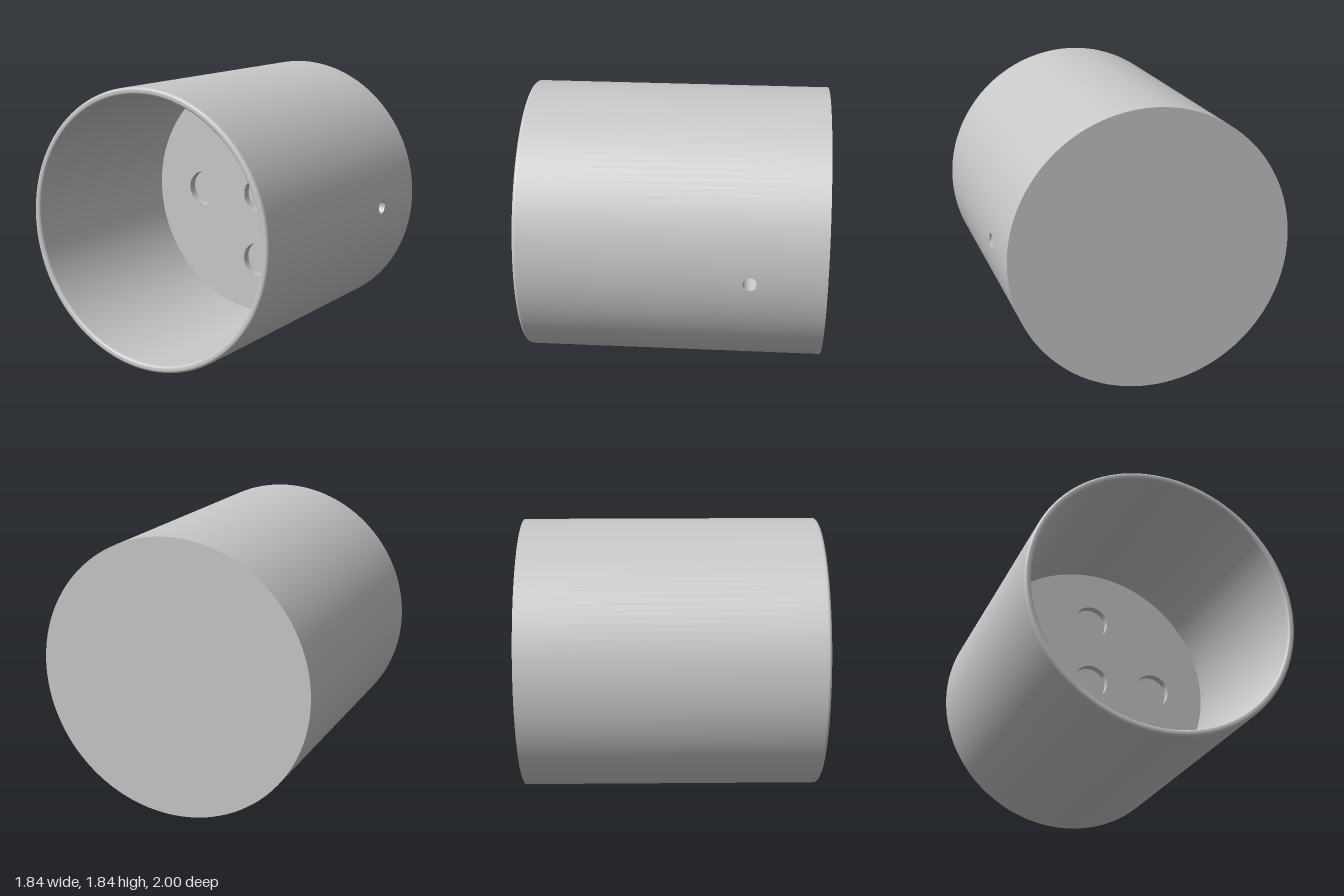
import * as THREE from 'three';

const R = 0.922;          // outer radius
const RI = 0.875;         // inner radius
const FLOOR = -0.37;      // z of the cup floor
const ROUND = 0.02;       // rounding of the front lip
const SEGMENTS = 120;
const BORE = { r: 0.046, z: -0.51, depth: 0.4 };
const POCKET = { r: 0.125, depth: 0.06, spread: 0.482 };
const PATCH = 2 * (2 * Math.PI / SEGMENTS);   // half angle of the patch around the bore
const PATCH_Z = 0.09;                         // half length of that patch

export function createModel() {
  const grey = new THREE.MeshStandardMaterial({ color: 0xc8c8c8 });
  grey.name = 'plain grey';
  const model = new THREE.Group();
  model.name = 'cup';
  const body = new THREE.Group();
  body.name = 'body';
  body.position.y = R;
  model.add(body);

  const add = (name, geometry, parent = body) => {
    const mesh = new THREE.Mesh(geometry, grey);
    mesh.name = name;
    parent.add(mesh);
    return mesh;
  };

  // Surface turned about the z axis from [radius, z] points; angle PI / 2 is +x
  const turned = (points, segments = SEGMENTS, start = 0, length = 2 * Math.PI) =>
    new THREE.LatheGeometry(points.map(p => new THREE.Vector2(...p)), segments, start, length)
      .rotateX(Math.PI / 2);

  // Outer wall, leaving a small window on the +x side for the bore
  const front = 1 - ROUND;
  const start = Math.PI / 2 - PATCH;
  add('outerWall', turned([[R, -1], [R, front]], SEGMENTS - 4,
    Math.PI / 2 + PATCH, 2 * Math.PI - 2 * PATCH));
  add('outerWallBackStrip', turned([[R, -1], [R, BORE.z - PATCH_Z]], 4, start, 2 * PATCH));
  add('outerWallFrontStrip', turned([[R, BORE.z + PATCH_Z], [R, front]], 4, start, 2 * PATCH));
  add('boreSurround', boreSurround());

  // Rounded front lip
  const lip = [];
  for (let i = 0; i <= 12; i++) {
    const a = Math.PI * i / 12;
    const centre = i <= 6 ? R - ROUND : RI + ROUND;
    lip.push([centre + ROUND * Math.cos(a), front + ROUND * Math.sin(a)]);
  }
  add('lip', turned(lip));

  // Inner wall and closed back
  add('innerWall', turned([[RI, front], [RI, FLOOR]]));
  add('back', new THREE.CircleGeometry(R, SEGMENTS).rotateY(Math.PI)).position.z = -1;

  // Floor with five round pockets
  const s = POCKET.spread;
  const centres = [[0, 0], [s, 0], [-s, 0], [0, s], [0, -s]];
  const floor = new THREE.Shape().absarc(0, 0, RI, 0, 2 * Math.PI);
  for (const [x, y] of centres) {
    floor.holes.push(new THREE.Path().absarc(x, y, POCKET.r, 0, 2 * Math.PI, true));
  }
  add('floor', new THREE.ShapeGeometry(floor, 60)).position.z = FLOOR;

  // Blind hole sunk along -z from its own origin
  const blindHole = (name, r, depth) => {
    const hole = new THREE.Group();
    hole.name = name;
    add(name + 'Wall', turned([[r, 0], [r, -depth]], 60), hole);
    add(name + 'Bottom', new THREE.CircleGeometry(r, 60), hole).position.z = -depth;
    body.add(hole);
    return hole;
  };
  for (const [x, y] of centres) {
    blindHole('pocket', POCKET.r, POCKET.depth).position.set(x, y, FLOOR);
  }

  // Small bore in the side
  const bore = blindHole('sideBore', BORE.r, BORE.depth);
  bore.position.set(R - 0.001, 0, BORE.z);
  bore.rotation.y = Math.PI / 2;

  return model;
}

// Curved patch running from the round bore out to a rectangular edge
function boreSurround() {
  const around = 64, rings = 4;
  const positions = [], normals = [], index = [];
  for (let j = 0; j <= rings; j++) {
    for (let i = 0; i <= around; i++) {
      const a = 2 * Math.PI * i / around;
      const c = Math.cos(a), d = Math.sin(a);
      const k = 1 / Math.max(Math.abs(c), Math.abs(d));
      const t = j / rings;
      const angle = THREE.MathUtils.lerp(c * BORE.r / R, c * k * PATCH, t);
      const z = BORE.z + THREE.MathUtils.lerp(d * BORE.r, d * k * PATCH_Z, t);
      positions.push(R * Math.cos(angle), R * Math.sin(angle), z);
      normals.push(Math.cos(angle), Math.sin(angle), 0);
      if (j < rings && i < around) {
        const p = j * (around + 1) + i, q = p + around + 1;
        index.push(p, q, p + 1, q, q + 1, p + 1);
      }
    }
  }
  const geometry = new THREE.BufferGeometry();
  geometry.setAttribute('position', new THREE.Float32BufferAttribute(positions, 3));
  geometry.setAttribute('normal', new THREE.Float32BufferAttribute(normals, 3));
  geometry.setIndex(index);
  return geometry;
}
